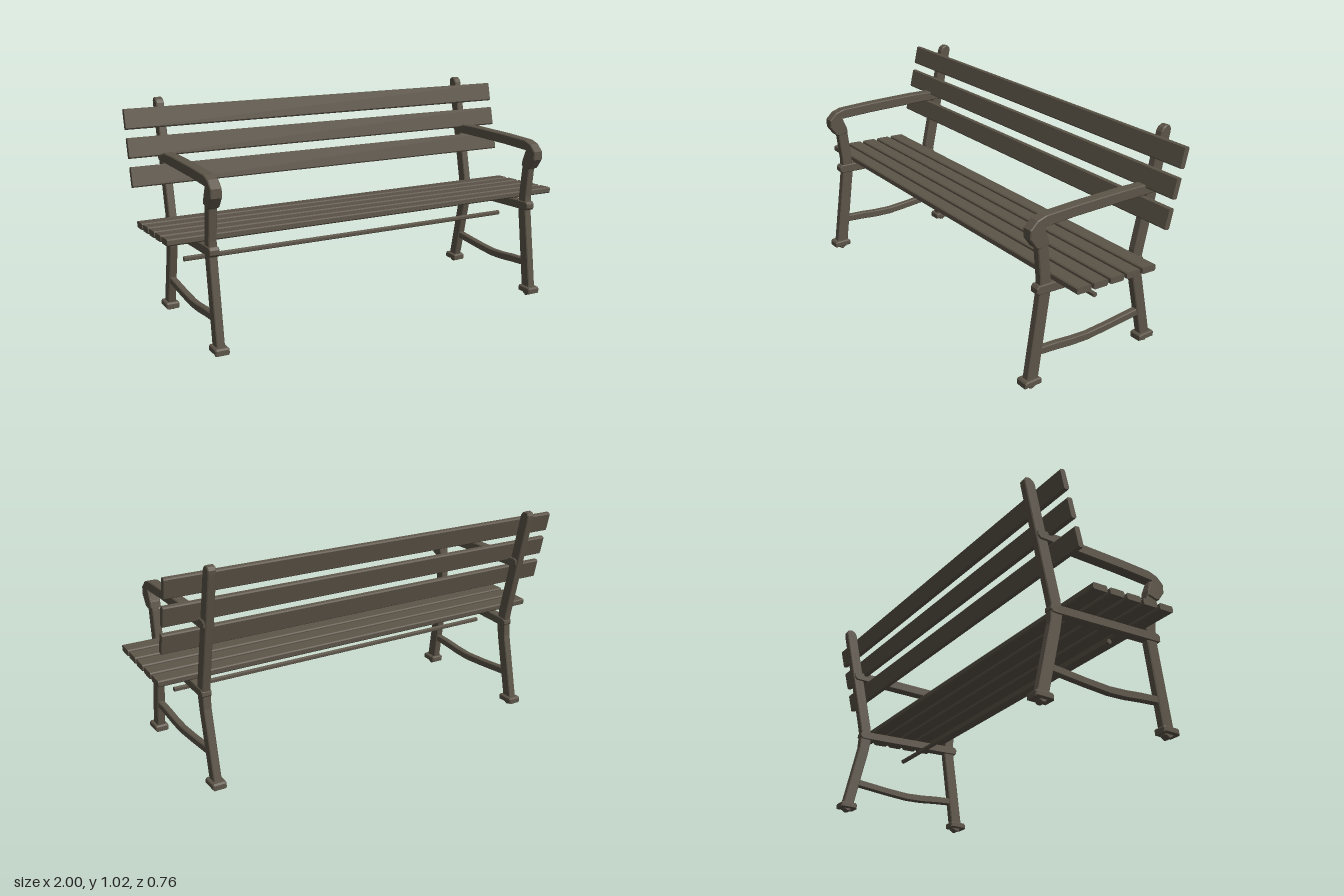
import * as THREE from 'three';

const paint = new THREE.MeshStandardMaterial({ color: 0x5c5448 });
paint.name = 'weathered brown';

// Extrudes a side outline of [z, y] points to a given width, centred on x.
function profile(name, points, width, bevel = 0.004) {
  const shape = new THREE.Shape(points.map(([z, y]) => new THREE.Vector2(z, y)));
  const geometry = new THREE.ExtrudeGeometry(shape, {
    depth: width - 2 * bevel,
    bevelEnabled: bevel > 0,
    bevelThickness: bevel,
    bevelSize: bevel,
    bevelOffset: -bevel,
    bevelSegments: 1,
  });
  geometry.translate(0, 0, -width / 2 + bevel);
  geometry.rotateY(-Math.PI / 2);
  const mesh = new THREE.Mesh(geometry, paint);
  mesh.name = name;
  return mesh;
}

// Plank along x with chamfered long edges; h is its size along y, d along z.
function slat(name, z, y, d, h, tilt) {
  const a = d / 2, b = h / 2, c = 0.005;
  const mesh = profile(name, [
    [-a + c, -b], [a - c, -b], [a, -b + c], [a, b - c],
    [a - c, b], [-a + c, b], [-a, b - c], [-a, -b + c],
  ], 2, 0);
  mesh.position.set(0, y, z);
  mesh.rotation.x = tilt;
  return mesh;
}

function endFrame(name, x) {
  const frame = new THREE.Group();
  frame.name = name;
  frame.position.x = x;

  frame.add(profile('frontLeg', [
    [0.362, 0.02], [0.348, 0.006], [0.335, 0], [0.312, 0.012], [0.303, 0.05],
    [0.262, 0.35], [0.252, 0.42], [0.252, 0.5], [0.268, 0.64], [0.275, 0.68],
    [0.295, 0.74], [0.335, 0.74], [0.332, 0.66], [0.321, 0.64], [0.306, 0.5],
    [0.308, 0.43], [0.319, 0.35], [0.362, 0.05],
  ], 0.037));

  frame.add(profile('backPost', [
    [-0.335, 0.02], [-0.317, 0.005], [-0.302, 0.006], [-0.29, 0.02], [-0.281, 0.05],
    [-0.216, 0.335], [-0.203, 0.41], [-0.21, 0.484], [-0.324, 0.997], [-0.333, 1.012],
    [-0.352, 1.022], [-0.37, 1.018], [-0.379, 1.003], [-0.377, 0.985], [-0.268, 0.484],
    [-0.26, 0.443], [-0.265, 0.362], [-0.335, 0.05],
  ].reverse(), 0.037));

  // Armrest with the drooping front scroll
  frame.add(profile('armrest', [
    [0.32, 0.643], [0.335, 0.65], [0.367, 0.695], [0.367, 0.735], [0.332, 0.768],
    [0.288, 0.781], [0.125, 0.785], [-0.13, 0.785], [-0.308, 0.779], [-0.321, 0.77],
    [-0.321, 0.748], [-0.308, 0.735], [-0.1, 0.737], [0.125, 0.737], [0.297, 0.733],
    [0.275, 0.682], [0.27, 0.655],
  ].reverse(), 0.05));

  frame.add(profile('seatRail', [
    [0.316, 0.435], [0.325, 0.445], [0.325, 0.465], [0.315, 0.477], [0.25, 0.475],
    [-0.25, 0.45], [-0.263, 0.44], [-0.265, 0.424], [-0.255, 0.41], [-0.22, 0.41],
    [0.25, 0.432],
  ].reverse(), 0.045));

  frame.add(profile('lowerBrace', [
    [0.295, 0.182], [0.2, 0.176], [0.12, 0.167], [0.03, 0.162], [-0.09, 0.169],
    [-0.265, 0.185], [-0.265, 0.15], [-0.09, 0.135], [0.03, 0.127], [0.12, 0.131],
    [0.2, 0.14], [0.295, 0.148],
  ].reverse(), 0.03));

  for (const [label, z] of [['frontFoot', 0.338], ['backFoot', -0.311]]) {
    frame.add(profile(label, [
      [z - 0.043, 0.02], [z + 0.043, 0.02], [z + 0.043, 0.043],
      [z + 0.036, 0.05], [z - 0.036, 0.05], [z - 0.043, 0.043],
    ], 0.064, 0.005));
  }
  return frame;
}

export function createModel() {
  const bench = new THREE.Group();
  bench.name = 'bench';
  bench.add(endFrame('leftFrame', 0.822), endFrame('rightFrame', -0.822));

  // Five seat slats, falling gently towards the back
  for (let i = 0; i < 5; i++) {
    bench.add(slat('seatSlat', 0.216 - i * 0.0885, 0.501 - i * 0.0042, 0.074, 0.029, -0.05));
  }
  // Three backrest slats, leaning with the posts
  for (let i = 0; i < 3; i++) {
    bench.add(slat('backSlat', -0.234 - i * 0.031, 0.684 + i * 0.127, 0.026, 0.093, -0.23));
  }

  // Hexagonal tie rod between the frames
  const rod = new THREE.CylinderGeometry(0.012, 0.012, 1.714, 6).toNonIndexed();
  rod.rotateZ(Math.PI / 2);
  rod.rotateX(Math.PI / 2);
  rod.computeVertexNormals();
  const tieRod = new THREE.Mesh(rod, paint);
  tieRod.name = 'tieRod';
  tieRod.position.set(0, 0.352, 0.022);
  bench.add(tieRod);
  return bench;
}
